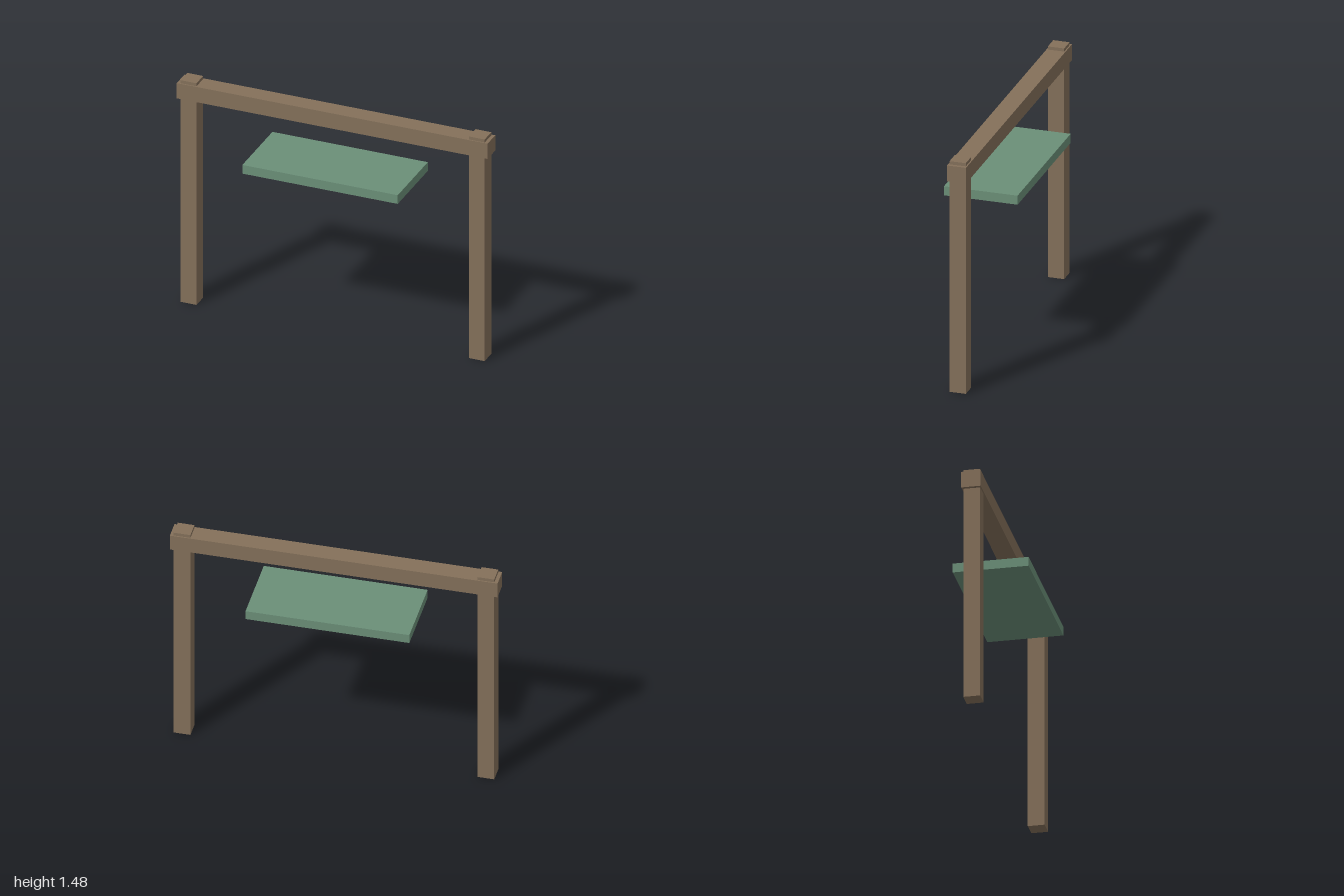
import * as THREE from 'three';

export function createModel() {
  const model = new THREE.Group();
  const wood = new THREE.MeshStandardMaterial({ color: 0x84705a });
  wood.name = 'brown wood';
  const green = new THREE.MeshStandardMaterial({ color: 0x6b8f78 });
  green.name = 'sage green';

  // Box placed by its centre in x and z and by its underside in y
  function addBox(name, material, [w, h, d], [x, y, z]) {
    const mesh = new THREE.Mesh(new THREE.BoxGeometry(w, h, d), material);
    mesh.name = name;
    mesh.position.set(x, y + h / 2, z);
    model.add(mesh);
  }

  // The frame sits slightly behind the centre of the panel
  const frameZ = -0.014;

  // Posts, with their tops standing just above the beam
  for (const [name, side] of [['leftPost', 1], ['rightPost', -1]]) {
    addBox(name, wood, [0.102, 1.483, 0.102], [side * 0.927, 0, frameZ]);
  }

  // Crossbeam
  addBox('crossbeam', wood, [2, 0.102, 0.118], [0, 1.361, frameZ]);

  // Floating panel below the beam
  addBox('panel', green, [1, 0.058, 0.46], [0, 1.048, 0]);

  return model;
}
